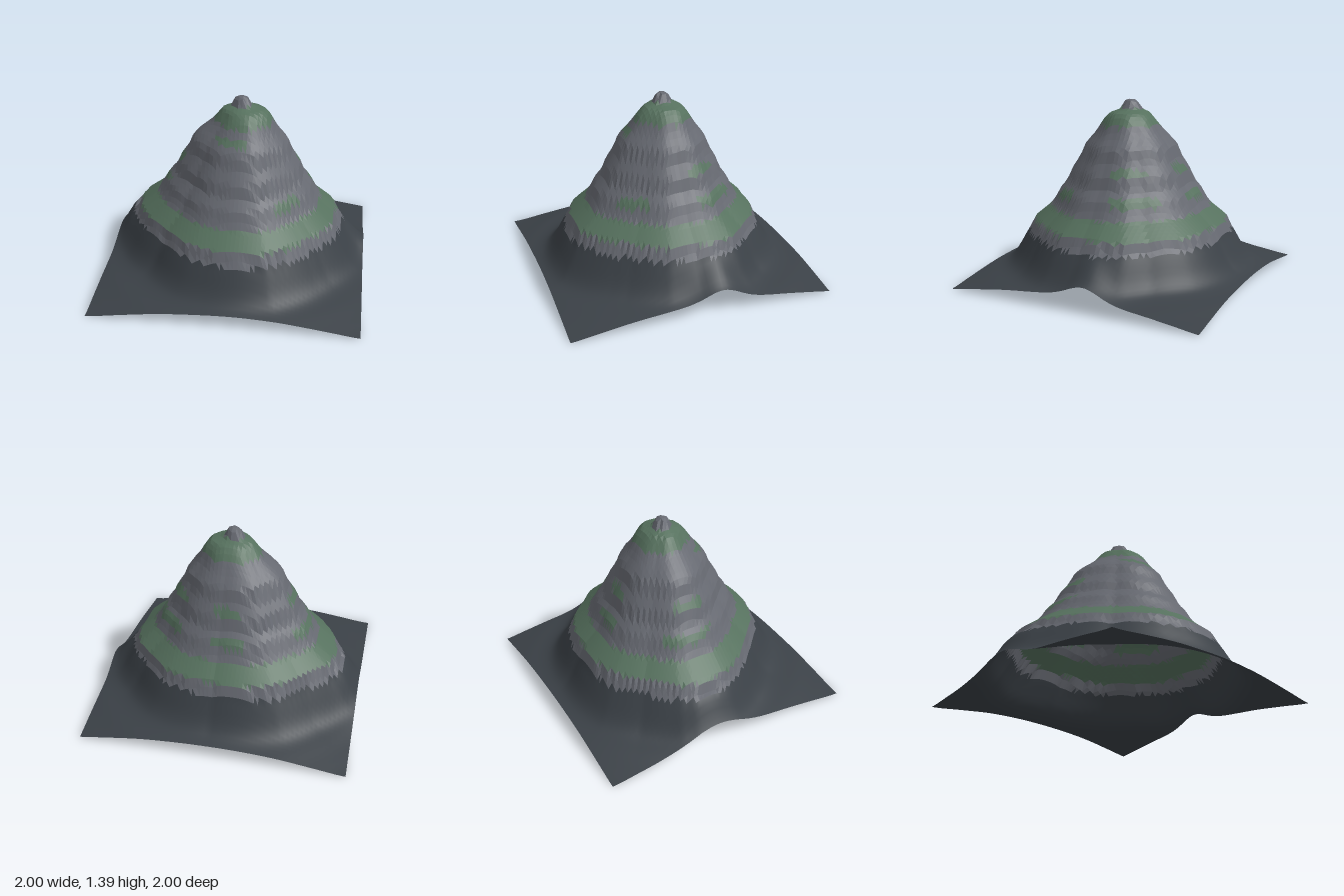
import * as THREE from 'three';

const N = 64; // grid cells per side
const CX = 0.02, CZ = -0.015; // summit offset

// Plan outline of the rocky foot (x, z), clockwise from the right
const foot = [
  [0.8, 0], [0.78, 0.2], [0.64, 0.43], [0.57, 0.52], [0.44, 0.65], [0.3, 0.74], [0.11, 0.77], [-0.13, 0.74],
  [-0.27, 0.69], [-0.51, 0.47], [-0.72, 0.25], [-0.83, 0.04], [-0.84, -0.24], [-0.8, -0.34], [-0.61, -0.53],
  [-0.42, -0.69], [0.03, -0.74], [0.27, -0.71], [0.43, -0.64], [0.62, -0.45], [0.75, -0.32], [0.81, -0.13],
].map(([x, z]) => ({
  a: (Math.atan2(z - CZ, x - CX) + 2 * Math.PI) % (2 * Math.PI),
  r: Math.hypot(x - CX, z - CZ),
}));

// Terraced height against distance, where 1 is the rocky foot
const terraces = [
  [0, 1.4], [0.06, 1.38], [0.095, 1.32], [0.19, 1.29], [0.255, 1.235], [0.285, 1.2], [0.35, 1.13],
  [0.385, 1.1], [0.45, 1.04], [0.485, 0.96], [0.58, 0.845], [0.61, 0.77], [0.7, 0.685], [0.725, 0.64],
  [0.78, 0.57], [0.87, 0.51], [0.96, 0.45], [0.98, 0.395], [1, 0.375],
];
const skirt = [
  [1, 0.375], [1.06, 0.295], [1.12, 0.21], [1.19, 0.14], [1.27, 0.105], [1.4, 0.078], [1.6, 0.038], [1.8, 0.006], [2.2, 0],
];

function sample(table, r, smooth) {
  const last = table.length - 1;
  if (r >= table[last][0]) return table[last][1];
  let i = 0;
  while (r > table[i + 1][0]) i++;
  const [r0, h0] = table[i], [r1, h1] = table[i + 1];
  const t = (r - r0) / (r1 - r0);
  if (!smooth) return h0 + (h1 - h0) * t;
  // Hermite curve with slopes taken from the neighbouring points
  const slope = (k) => {
    const a = table[Math.max(k - 1, 0)], b = table[Math.min(k + 1, last)];
    return ((b[1] - a[1]) / (b[0] - a[0])) * (r1 - r0);
  };
  const t2 = t * t, t3 = t2 * t;
  return h0 * (2 * t3 - 3 * t2 + 1) + slope(i) * (t3 - 2 * t2 + t) + h1 * (3 * t2 - 2 * t3) + slope(i + 1) * (t3 - t2);
}

function footRadius(angle) {
  const a = (angle + 2 * Math.PI) % (2 * Math.PI);
  for (let i = 0; i < foot.length; i++) {
    const p = foot[i], q = foot[(i + 1) % foot.length];
    const end = q.a > p.a ? q.a : q.a + 2 * Math.PI;
    const turn = a >= p.a ? a : a + 2 * Math.PI;
    if (turn <= end) return p.r + ((q.r - p.r) * (turn - p.a)) / (end - p.a);
  }
  return foot[0].r;
}

const { lerp, smoothstep } = THREE.MathUtils;
const bump = (v, centre, width) => Math.exp(-(((v - centre) / width) ** 2));

function height(x, z) {
  const d = Math.hypot(x - CX, z - CZ);
  const angle = Math.atan2(z - CZ, x - CX);
  const R = footRadius(angle);
  if (d < R) {
    // the shoulder just below the summit leans to the left side
    const k = d / R - 0.035 * Math.cos(angle) * bump(d / R, 0.24, 0.09);
    return sample(terraces, k, false);
  }
  // the skirt follows the foot, then becomes circular; a low ridge runs out to either side
  const outer = lerp(R, 0.79, smoothstep(d - R, 0.05, 0.42));
  const ridge = x > 0 ? 0.08 * bump(z, -0.13, 0.18) : 0.06 * bump(z, -0.13, 0.25);
  return sample(skirt, d / outer, true) + ridge * smoothstep(Math.abs(x), 0.78, 0.94);
}

// Which ground cover a triangle belongs to
function cover(x, y, z) {
  if (y < 0.365) return 'lowerSlope';
  if (y > 0.45 && y < 0.57) return 'grass';
  if (y > 1.2 && y < 1.325) return 'grass';
  const tread = (y > 0.65 && y < 0.72) || (y > 0.86 && y < 0.92) || (y > 1.09 && y < 1.14);
  const patch = Math.sin(13 * x + 2) + Math.sin(9 * z - 5 * x);
  return tread && patch > 0.75 ? 'grass' : 'rock';
}

export function createModel() {
  const group = new THREE.Group();
  group.name = 'mountain';

  // Height field; the quarter turn sets the direction of the cell diagonals
  const ground = new THREE.PlaneGeometry(2, 2, N, N).rotateX(-Math.PI / 2).rotateY(Math.PI / 2);
  const pos = ground.attributes.position;
  for (let i = 0; i < pos.count; i++) pos.setY(i, height(pos.getX(i), pos.getZ(i)));
  ground.computeVertexNormals();

  // Split the triangles by ground cover
  const faces = { lowerSlope: [], rock: [], grass: [] };
  const index = ground.index.array;
  for (let i = 0; i < index.length; i += 3) {
    const tri = [index[i], index[i + 1], index[i + 2]];
    const mid = (axis) => tri.reduce((s, v) => s + pos.getComponent(v, axis), 0) / 3;
    faces[cover(mid(0), mid(1), mid(2))].push(...tri);
  }

  const colors = { lowerSlope: 0x3b4147, rock: 0x666971, grass: 0x56715e };
  for (const name of Object.keys(faces)) {
    const geometry = new THREE.BufferGeometry();
    geometry.setAttribute('position', pos);
    geometry.setAttribute('normal', ground.attributes.normal);
    geometry.setIndex(faces[name]);
    const material = new THREE.MeshStandardMaterial({
      color: colors[name], side: THREE.DoubleSide, flatShading: name !== 'lowerSlope',
    });
    const mesh = new THREE.Mesh(geometry, material);
    mesh.name = name;
    group.add(mesh);
  }
  return group;
}
